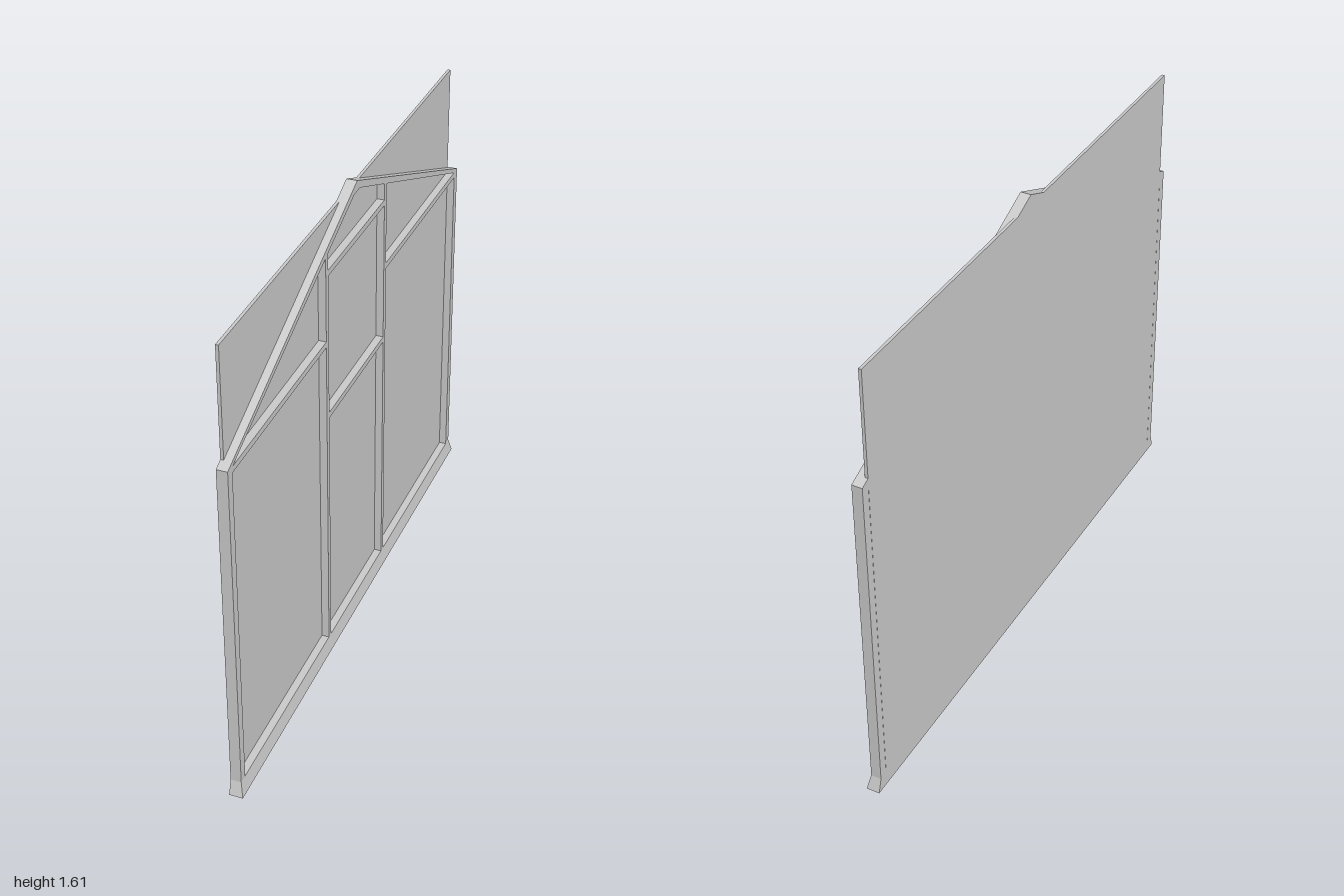
import * as THREE from 'three';

export function createModel() {
  const group = new THREE.Group();
  const material = new THREE.MeshStandardMaterial({ color: 0xcccccc, flatShading: true });
  const BACK = -0.025, FRONT = 0.01;

  const add = (name, geometry) => {
    const mesh = new THREE.Mesh(geometry, material);
    mesh.name = name;
    group.add(mesh);
    return mesh;
  };
  const outline = (points, Type = THREE.Path) => new Type(points.map(([u, v]) => new THREE.Vector2(u, v)));
  const mirror = (points) => points.map(([u, v]) => [-u, v]).reverse();
  const rect = (u0, v0, u1, v1) => [[u0, v0], [u1, v0], [u1, v1], [u0, v1]];
  const rafter = (u) => 1.585 - 0.41 * Math.abs(u); // underside of the sloping rafters

  // Gabled frame: posts, rails and rafters around open bays
  const frame = outline([[-0.985, 0], [0.985, 0], [0.985, 1.197], [0, 1.61], [-0.985, 1.197]], THREE.Shape);
  const sideBay = rect(0.26, 0.05, 0.955, 1.175);
  const gableBay = [[0.26, 1.195], [0.951, 1.195], [0.26, rafter(0.26)]];
  const topBay = [[-0.24, 1.43], [0.24, 1.43], [0.24, rafter(0.24)],
    [0.024, 1.575], [-0.024, 1.575], [-0.24, rafter(0.24)]];
  const bays = [sideBay, mirror(sideBay), gableBay, mirror(gableBay),
    rect(-0.24, 0.05, 0.24, 0.91), rect(-0.24, 0.93, 0.24, 1.41), topBay];
  bays.forEach((bay) => frame.holes.push(outline(bay)));
  const frameGeometry = new THREE.ExtrudeGeometry(frame, { depth: FRONT - BACK, bevelEnabled: false });
  frameGeometry.rotateY(Math.PI / 2).translate(BACK, 0, 0);
  add('gableFrame', frameGeometry);

  // Flat backing panel, rising square above the rafters
  add('backPanel', new THREE.BoxGeometry(0.01, 1.555, 1.908).translate(BACK + 0.005, 0.7975, 0));

  // Sill that flares outward at the foot
  const sill = new THREE.BoxGeometry(FRONT - BACK, 0.05, 1.97).translate((FRONT + BACK) / 2, 0.025, 0);
  const p = sill.attributes.position;
  for (let i = 0; i < p.count; i++) {
    if (p.getY(i) > 0.01) continue;
    p.setZ(i, Math.sign(p.getZ(i)));
    if (p.getX(i) > 0) p.setX(i, 0.02);
  }
  sill.computeVertexNormals();
  add('sill', sill);

  return group;
}
